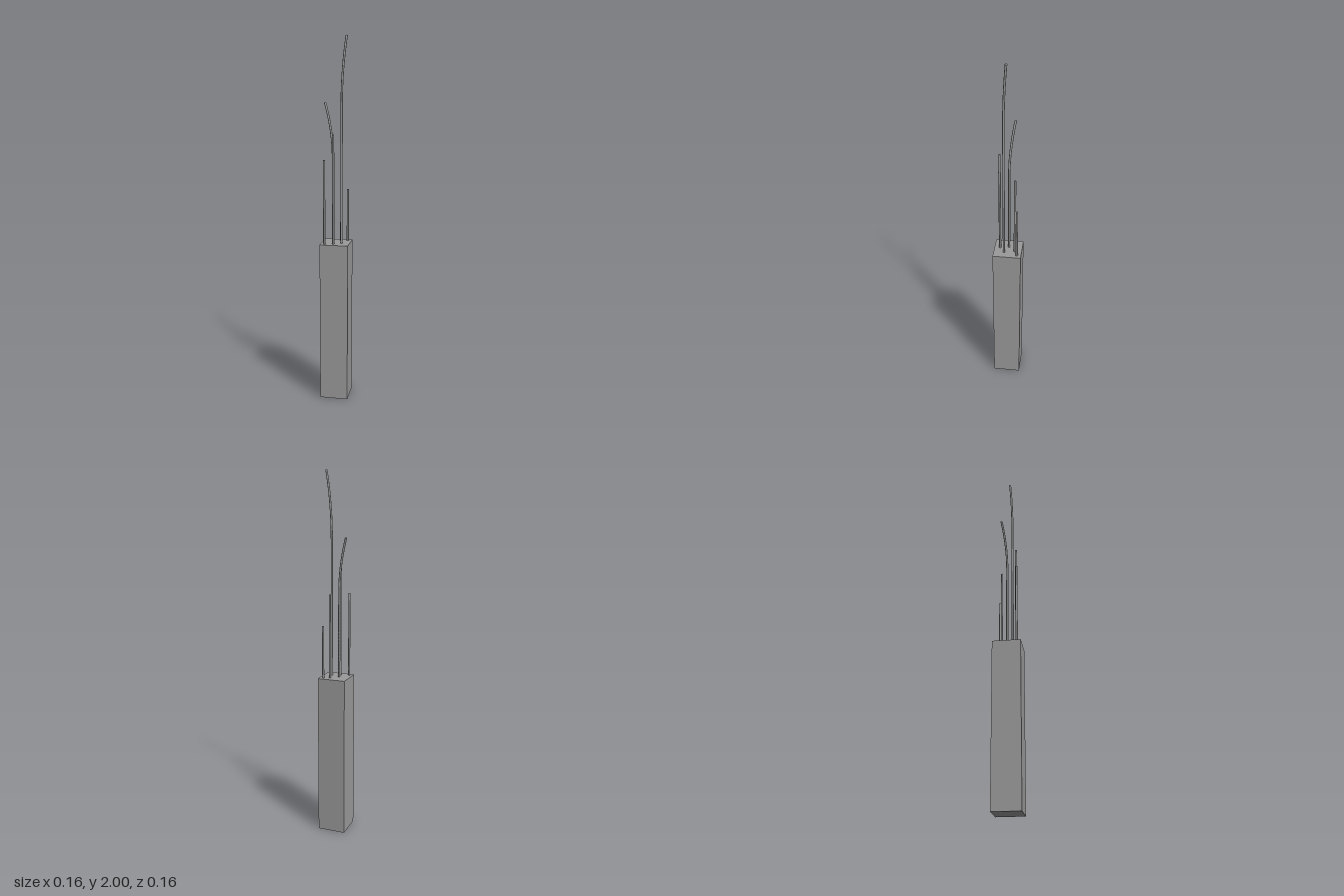
import * as THREE from 'three';

const material = new THREE.MeshStandardMaterial({ color: 0x9a9a9a });
const SIDE = 0.155, BLOCK_TOP = 0.895, RADIUS = 0.006;

// Upright rod; above bendStart its centre line swings out by (dx, dz) along a parabola
function rod(name, { x, z, top, dx = 0, dz = 0, bendStart = top }) {
  const base = BLOCK_TOP - 0.02;
  const bent = bendStart < top;
  const geometry = new THREE.CylinderGeometry(RADIUS, RADIUS, top - base, 8, bent ? 40 : 1);
  geometry.translate(0, (top + base) / 2, 0);
  if (bent) {
    const { position: p, normal: n } = geometry.attributes;
    const span = top - bendStart;
    for (let i = 0; i < p.count; i++) {
      const px = p.getX(i), py = p.getY(i), pz = p.getZ(i);
      const nx = n.getX(i), ny = n.getY(i), nz = n.getZ(i);
      const t = Math.max(0, (py - bendStart) / span);
      // tilt each ring and its normals so they stay square to the bent centre line
      const sx = 2 * t * dx / span, sz = 2 * t * dz / span;
      p.setXYZ(i, px + dx * t * t, py - (px * sx + pz * sz), pz + dz * t * t);
      n.setXYZ(i, nx + ny * sx, ny - (nx * sx + nz * sz), nz + ny * sz);
    }
    geometry.normalizeNormals();
  }
  const mesh = new THREE.Mesh(geometry, material);
  mesh.name = name;
  mesh.position.set(x, 0, z);
  return mesh;
}

export function createModel() {
  const model = new THREE.Group();
  model.name = 'columnWithRods';

  // Square column
  const column = new THREE.Mesh(new THREE.BoxGeometry(SIDE, BLOCK_TOP, SIDE), material);
  column.name = 'column';
  column.position.y = BLOCK_TOP / 2;
  model.add(column);

  // Straight rods
  [
    { x: -0.056, z: 0.054, top: 1.355 },
    { x: -0.008, z: 0.046, top: 1.49 },
    { x: 0.021, z: -0.039, top: 1.355 },
    { x: 0.055, z: -0.054, top: 1.185 },
  ].forEach((r, i) => model.add(rod(`straightRod${i + 1}`, r)));

  // Rods with bent tips
  model.add(rod('tallBentRod', { x: 0.033, z: 0.02, top: 2, dx: 0.023, dz: -0.017, bendStart: 1.65 }));
  model.add(rod('shortBentRod', { x: -0.019, z: -0.003, top: 1.655, dx: -0.048, dz: -0.027, bendStart: 1.36 }));

  return model;
}
